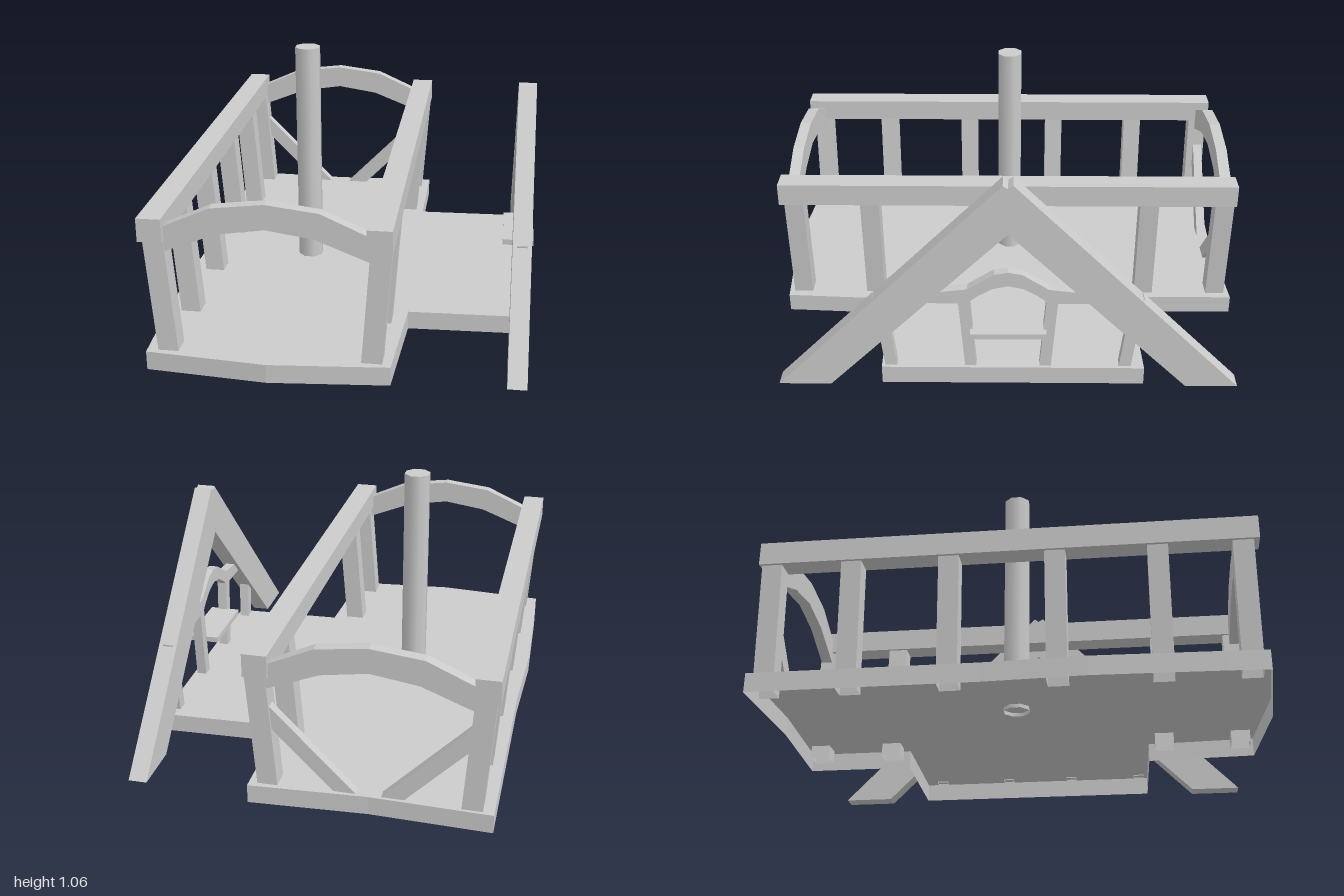
import * as THREE from 'three';

const flat = new THREE.MeshStandardMaterial({ color: 0xcccccc, flatShading: true, side: THREE.DoubleSide });
const smooth = new THREE.MeshStandardMaterial({ color: 0xcccccc, side: THREE.DoubleSide });

const MID_X = -0.253; // middle of the main deck
const MID_Z = -0.02;  // middle of the side porch

export function createModel() {
  const model = new THREE.Group();

  const add = (name, geometry, material = flat) => {
    const mesh = new THREE.Mesh(geometry, material);
    mesh.name = name;
    model.add(mesh);
    return mesh;
  };
  const box = (name, x0, x1, y0, y1, z0, z1, material) =>
    add(name, new THREE.BoxGeometry(x1 - x0, y1 - y0, z1 - z0), material)
      .position.set((x0 + x1) / 2, (y0 + y1) / 2, (z0 + z1) / 2);
  const extrude = (points, depth) => new THREE.ExtrudeGeometry(
    new THREE.Shape(points.map(p => new THREE.Vector2(...p))), { depth, bevelEnabled: false });
  // Profile given as [x, y], running from z0 to z1
  const slabZ = (name, points, z0, z1) => add(name, extrude(points, z1 - z0).translate(0, 0, z0));
  // Profile given as [z, y], running from x0 to x1
  const slabX = (name, points, x0, x1) =>
    add(name, extrude(points.map(([z, y]) => [-z, y]), x1 - x0).rotateY(Math.PI / 2).translate(x0, 0, 0));
  // Hollow square post, sheared so that it leans from bottom [x, y, z] to top [x, y, z]
  const post = (name, bottom, top, wx, wz) => {
    const geo = new THREE.CylinderGeometry(Math.SQRT1_2, Math.SQRT1_2, 1, 4, 1, true).rotateY(Math.PI / 4);
    const p = geo.attributes.position;
    for (let i = 0; i < p.count; i++) {
      const end = p.getY(i) > 0 ? top : bottom;
      p.setXYZ(i, end[0] + p.getX(i) * wx, end[1], end[2] + p.getZ(i) * wz);
    }
    add(name, geo);
  };

  // Deck: a top sheet with a skirt around its outline, open below
  const outline = [
    [-0.73, -0.99], [MID_X, -0.975], [0.215, -1.0], [0.215, -0.555], [0.725, -0.57], [0.725, 0.49],
    [0.24, 0.505], [0.215, 0.955], [MID_X, 0.995], [-0.73, 0.955], [-0.737, 0.8], [-0.75, 0.3], [-0.732, -0.1],
  ];
  const deckTop = new THREE.ShapeGeometry(new THREE.Shape(outline.map(([x, z]) => new THREE.Vector2(x, -z))));
  add('deckTop', deckTop.rotateX(-Math.PI / 2).translate(0, 0.085, 0));
  const skirt = [], index = [];
  outline.forEach(([x, z], i) => {
    const a = 2 * i, b = 2 * ((i + 1) % outline.length);
    skirt.push(x, 0.008, z, x, 0.085, z);
    index.push(a, a + 1, b, b, a + 1, b + 1);
  });
  const skirtGeo = new THREE.BufferGeometry();
  skirtGeo.setAttribute('position', new THREE.Float32BufferAttribute(skirt, 3));
  skirtGeo.setIndex(index);
  skirtGeo.computeVertexNormals();
  add('deckSkirt', skirtGeo);

  // Mast: smooth eight-sided column, open at the foot
  const mast = new THREE.CylinderGeometry(0.055, 0.055, 0.985, 8, 1, true).rotateY(Math.PI / 8);
  add('mast', mast, smooth).position.set(-0.255, 0.5625, MID_Z);
  const cap = new THREE.CircleGeometry(0.055, 8).rotateX(-Math.PI / 2).rotateY(Math.PI / 8);
  add('mastCap', cap).position.set(-0.255, 1.055, MID_Z);

  // Long side rails with outward-leaning posts
  box('rightRail', -0.732, -0.638, 0.548, 0.642, -0.985, 0.957);
  box('leftRail', 0.124, 0.22, 0.548, 0.642, -0.985, 0.957);
  for (const z of [-0.935, -0.617, -0.232, 0.18, 0.573, 0.895]) {
    post('rightPost', [-0.643, 0.03, z], [-0.681, 0.56, z], 0.08, 0.08);
    if (Math.abs(z) > 0.5) post('leftPost', [0.137, 0.03, z], [0.177, 0.56, z], 0.08, 0.08);
  }

  // Faceted arches across both ends
  const arch = [
    [-0.66, 0.495], [-0.44, 0.582], [MID_X, 0.61], [-0.07, 0.582], [0.15, 0.495],
    [0.15, 0.595], [-0.05, 0.685], [MID_X, 0.71], [-0.46, 0.685], [-0.66, 0.595],
  ];
  slabZ('frontArch', arch, 0.883, 0.93);
  slabZ('backArch', arch, -0.972, -0.925);

  // Diagonal braces at the back
  const brace = [[-0.66, 0.36], [-0.39, 0.085], [-0.302, 0.085], [-0.66, 0.45]];
  slabZ('rightBrace', brace, -0.965, -0.925);
  slabZ('leftBrace', brace.map(([x, y]) => [2 * MID_X - x, y]), -0.965, -0.925);

  // Tall A-frame: two beams meeting at a notched peak
  const beam = [[0.912, 0], [0.7, 0], [MID_Z, 0.713], [MID_Z, 0.908], [0, 0.922]];
  slabX('frontBeam', beam, 0.652, 0.728);
  slabX('backBeam', beam.map(([z, y]) => [2 * MID_Z - z, y]), 0.652, 0.728);

  // Porch railing: level wings rising to a small arch, on four leaning posts
  const upper = [[0, 0.53], [0.055, 0.52], [0.11, 0.485], [0.16, 0.452], [0.26, 0.44], [0.49, 0.44]];
  const lower = [[0.49, 0.385], [0.16, 0.387], [0.12, 0.42], [0.06, 0.455], [0, 0.468]];
  const half = [...upper, ...lower];
  const other = half.slice(1, -1).reverse();
  slabX('porchRailing', [
    ...half.map(([d, y]) => [MID_Z + d, y]),
    ...other.map(([d, y]) => [MID_Z - d, y]),
  ], 0.67, 0.71);
  for (const s of [-1, 1]) {
    post('porchInnerPost', [0.69, 0.08, MID_Z + s * 0.15], [0.69, 0.41, MID_Z + s * 0.175], 0.042, 0.046);
    post('porchOuterPost', [0.69, 0.08, MID_Z + s * 0.472], [0.69, 0.41, MID_Z + s * 0.51], 0.042, 0.048);
  }

  // Thin shelf between the inner porch posts
  box('porchShelf', 0.614, 0.746, 0.24, 0.264, -0.172, 0.13);

  return model;
}
